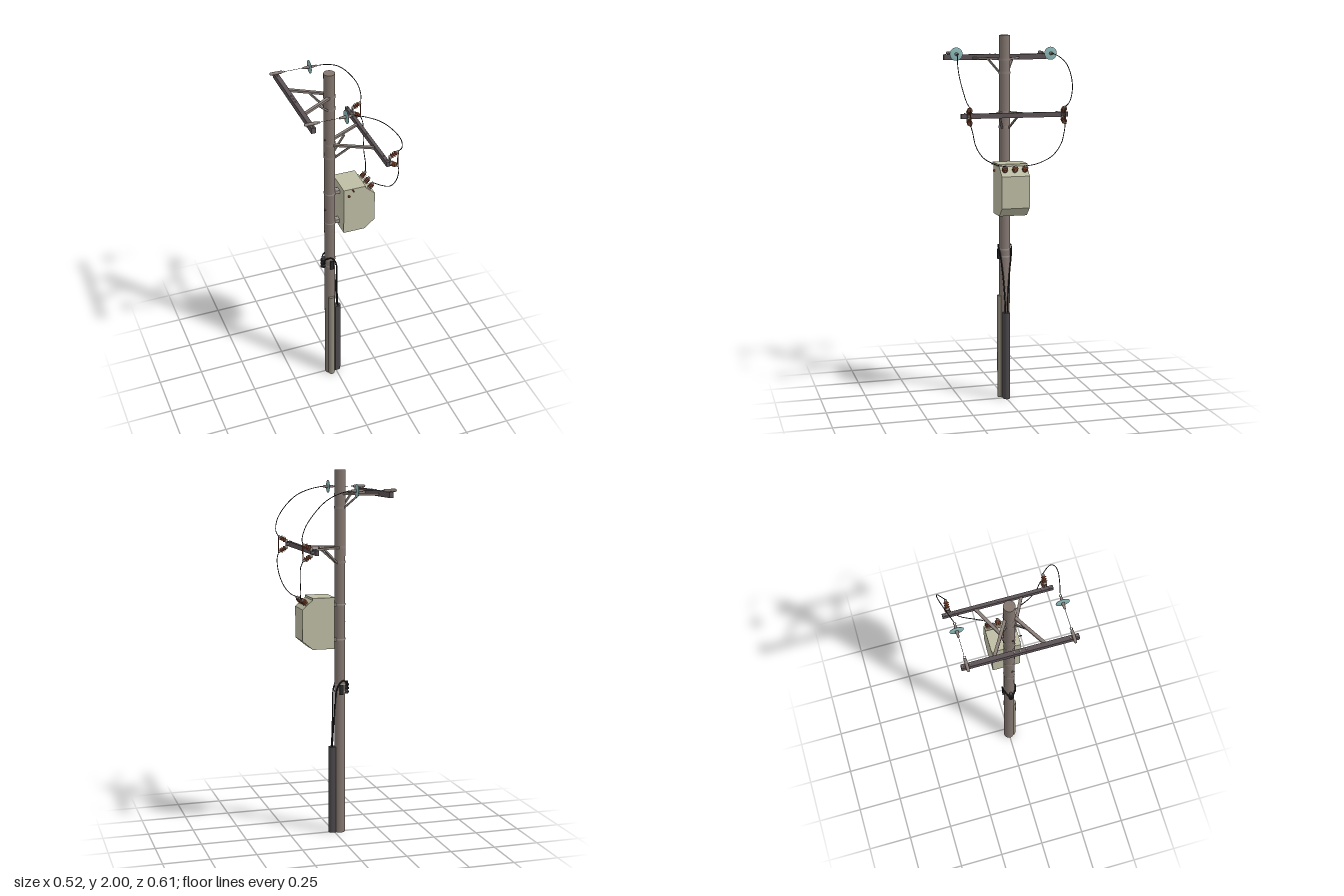
import * as THREE from 'three';

const mat = (name, color) => {
  const m = new THREE.MeshStandardMaterial({ color, side: THREE.DoubleSide });
  m.name = name;
  return m;
};
const V = (x, y, z) => new THREE.Vector3(x, y, z);
const UP = V(0, 1, 0);

export function createModel() {
  const M = {
    pole: mat('weathered pole', 0x83766f),
    arm: mat('dark steel', 0x5c5356),
    strut: mat('light steel', 0x8a7e78),
    cap: mat('grey fittings', 0x9a938c),
    tank: mat('tank paint', 0xbdbca3),
    brown: mat('brown porcelain', 0x84482f),
    glass: mat('teal glass', 0x8fbcbc),
    wire: mat('black cable', 0x2a2829),
    guard: mat('cable guard', 0x4b474a),
    pipe: mat('ground pipe', 0x8f897b),
  };
  const root = new THREE.Group();
  root.name = 'utilityPole';
  const PX = -0.032, PR = 0.0295;

  const add = (name, geo, material, pos = V(0, 0, 0), parent = root) => {
    const m = new THREE.Mesh(geo, material);
    m.name = name;
    m.position.copy(pos);
    parent.add(m);
    return m;
  };
  const box = (name, m, x0, x1, y0, y1, z0, z1) =>
    add(name, new THREE.BoxGeometry(x1 - x0, y1 - y0, z1 - z0), m, V((x0 + x1) / 2, (y0 + y1) / 2, (z0 + z1) / 2));
  // flat bar between two points
  const bar = (name, m, a, b, w, h) => {
    const o = add(name, new THREE.BoxGeometry(w, h, a.distanceTo(b)), m, a.clone().lerp(b, 0.5));
    o.lookAt(b);
    return o;
  };
  const rod = (name, m, a, b, r, seg = 10) => {
    const o = add(name, new THREE.CylinderGeometry(r, r, a.distanceTo(b), seg), m, a.clone().lerp(b, 0.5));
    o.quaternion.setFromUnitVectors(UP, b.clone().sub(a).normalize());
    return o;
  };
  const cable = (name, pts, r, n = 40) =>
    add(name, new THREE.TubeGeometry(new THREE.CatmullRomCurve3(pts.map(p => V(...p))), n, r, 6), M.wire);
  // turned part whose axis runs from base along dir
  const turned = (name, m, base, dir, profile) => {
    const o = add(name, new THREE.LatheGeometry(profile.map(p => new THREE.Vector2(...p)), 20), m, base);
    o.quaternion.setFromUnitVectors(UP, dir.clone().normalize());
    return o;
  };
  // ribbed porcelain with metal ends
  const insulator = (name, base, dir, len, r) => {
    const d = dir.clone().normalize(), profile = [[0, 0]];
    const sheds = 3;
    for (let i = 0; i < sheds; i++) {
      const t = len * (0.2 + 0.6 * i / sheds);
      profile.push([r * 0.5, t], [r, t + len * 0.07], [r * 0.9, t + len * 0.11], [r * 0.5, t + len * 0.19]);
    }
    profile.push([r * 0.4, len * 0.85], [0, len * 0.85]);
    turned(name + 'Porcelain', M.brown, base, d, profile);
    const end = base.clone().addScaledVector(d, len);
    rod(name + 'Base', M.cap, base, base.clone().addScaledVector(d, len * 0.2), r * 0.7);
    rod(name + 'Tip', M.cap, end.clone().addScaledVector(d, -len * 0.2), end, r * 0.5);
    return end;
  };
  const band = (y, h, m = M.strut) =>
    add('poleBand', new THREE.CylinderGeometry(PR + 0.002, PR + 0.002, h, 24, 1, true), m, V(PX, y, 0));

  // pole and its bands
  add('pole', new THREE.CylinderGeometry(PR, PR, 2, 32), M.pole, V(PX, 1, 0));
  for (const y of [1.87, 1.8, 1.59, 1.51]) band(y, 0.012);
  for (const y of [1.28, 1.09, 0.84, 0.8]) band(y, 0.008, M.cap);
  for (const y of [1.62, 1.18]) rod('poleBolt', M.arm, V(PX - 0.033, y, 0.01), V(PX, y, 0.01), 0.005);

  // crossarms
  box('upperCrossarm', M.arm, -0.233, -0.21, 1.862, 1.892, -0.29, 0.29);
  box('lowerCrossarm', M.arm, 0.166, 0.184, 1.575, 1.601, -0.29, 0.29);
  for (const z of [-0.28, -0.245, -0.03, 0, 0.03, 0.245, 0.28])
    rod('upperArmBolt', M.cap, V(-0.222, 1.89, z), V(-0.222, 1.896, z), 0.004, 6);
  for (const z of [-0.27, -0.23, 0, 0.23, 0.27])
    rod('lowerArmBolt', M.cap, V(0.175, 1.6, z), V(0.175, 1.606, z), 0.004, 6);

  for (const s of [1, -1]) {
    // struts and diagonal braces
    bar('upperStrut', M.strut, V(-0.21, 1.873, s * 0.125), V(-0.045, 1.873, s * 0.025), 0.016, 0.012);
    bar('upperBrace', M.strut, V(-0.115, 1.868, s * 0.067), V(-0.05, 1.8, s * 0.022), 0.009, 0.009);
    bar('lowerStrut', M.strut, V(0.168, 1.588, s * 0.12), V(-0.018, 1.588, s * 0.024), 0.016, 0.011);
    bar('lowerBrace', M.strut, V(0.072, 1.585, s * 0.056), V(-0.012, 1.505, s * 0.018), 0.009, 0.009);

    // line clamp on the upper arm
    const z = s * 0.262, y = 1.9;
    const clamp = add('lineClamp', new THREE.CapsuleGeometry(0.008, 0.055, 6, 14), M.strut, V(-0.224, y, z));
    clamp.rotation.z = Math.PI / 2;
    const ringGeo = new THREE.TorusGeometry(0.006, 0.002, 6, 14);
    ringGeo.rotateX(Math.PI / 2);
    add('clampRing', ringGeo, M.cap, V(-0.184, y, z));
    rod('lineWire', M.wire, V(-0.18, y, z), V(-0.075, y, z), 0.001, 6);

    // glass disc insulator
    const X = V(1, 0, 0);
    turned('glassDisc', M.glass, V(-0.046, y, z), X,
      [[0, 0], [0.012, 0], [0.035, 0.002], [0.035, 0.004], [0.012, 0.006], [0, 0.006]]);
    turned('discSpindle', M.strut, V(-0.08, y, z), X,
      [[0, 0], [0.005, 0.001], [0.0065, 0.015], [0.0085, 0.03], [0.0085, 0.044], [0.006, 0.065], [0, 0.068]]);
    add('discRing', ringGeo, M.cap, V(-0.007, y, z));

    // fuse holder: two angled insulators and a fuse tube
    const fz = s * 0.255;
    rod('fuseStem', M.cap, V(0.184, 1.588, fz), V(0.2, 1.588, fz), 0.006);
    box('fuseBracket', M.arm, 0.194, 0.201, 1.565, 1.612, fz - 0.006, fz + 0.006);
    const top = insulator('upperFuse', V(0.195, 1.604, fz), V(0.05, 0.03, 0), 0.055, 0.0145);
    const low = insulator('lowerFuse', V(0.195, 1.574, fz), V(0.05, -0.03, 0), 0.055, 0.0145);
    rod('fuseTube', M.brown, top, low, 0.0035);

    // jumper cables
    cable('upperJumper', [[-0.002, y, z], [0.06, 1.885, s * 0.279], [0.13, 1.852, s * 0.295],
      [0.195, 1.79, s * 0.301], [0.24, 1.72, s * 0.293], [0.252, 1.66, s * 0.275], [top.x, top.y, fz]], 0.0022);
    cable('lowerJumper', [[low.x, low.y, fz], [0.253, 1.51, s * 0.247], [0.25, 1.44, s * 0.23],
      [0.236, 1.375, s * 0.185], [0.217, 1.335, s * 0.11], [0.195, 1.322, s * 0.056]], 0.0022);

    // supply cable from the terminal into the guard
    cable('supplyCable', [[-0.07, 0.81, s * 0.012], [-0.066, 0.85, s * 0.022], [-0.035, 0.862, s * 0.036],
      [-0.008, 0.82, s * 0.032], [0.002, 0.72, s * 0.02], [0.007, 0.6, s * 0.01], [0.013, 0.48, s * 0.006]], 0.004);
    box('terminalClip', M.wire, -0.042, -0.022, 0.785, 0.84, s * 0.034 - 0.005, s * 0.034 + 0.005);
  }

  // transformer tank
  const shape = new THREE.Shape([[0.02, 1.05], [0.14, 1.05], [0.197, 1.098], [0.197, 1.268], [0.14, 1.318], [0.02, 1.318]]
    .map(p => new THREE.Vector2(...p)));
  const tank = new THREE.ExtrudeGeometry(shape, { depth: 0.152, bevelEnabled: false });
  add('transformerTank', tank, M.tank, V(0, 0, -0.076));
  box('tankLid', M.tank, 0.018, 0.142, 1.314, 1.328, -0.08, 0.08);
  for (const y of [1.28, 1.09]) box('tankBracket', M.cap, -0.008, 0.021, y - 0.01, y + 0.01, -0.016, 0.016);
  const out = V(0.65, 0.75, 0);
  for (const z of [-0.055, 0, 0.055]) insulator('bushing', V(0.168, 1.291, z), out, 0.042, 0.0155);
  rod('tankLever', M.brown, V(0.068, 1.322, 0.076), V(0.068, 1.322, 0.098), 0.0035);
  rod('tankGauge', M.brown, V(0.048, 1.285, 0.074), V(0.048, 1.285, 0.085), 0.006);

  // cable terminal on the back of the pole
  rod('terminalBody', M.guard, V(-0.07, 0.785, 0), V(-0.07, 0.855, 0), 0.009, 14);
  for (const y of [0.795, 0.815, 0.835])
    rod('terminalRib', M.wire, V(-0.072, y - 0.004, 0), V(-0.072, y + 0.004, 0), 0.014, 14);

  // cable guard and ground pipe along the pole foot
  const guard = new THREE.Shape();
  guard.moveTo(-0.006, -0.018);
  guard.lineTo(0.013, -0.018);
  guard.absarc(0.013, 0, 0.018, -Math.PI / 2, Math.PI / 2, false);
  guard.lineTo(-0.006, 0.018);
  const guardGeo = new THREE.ExtrudeGeometry(guard, { depth: 0.49, bevelEnabled: false, curveSegments: 12 });
  guardGeo.rotateX(-Math.PI / 2);
  add('cableGuard', guardGeo, M.guard);
  add('groundPipe', new THREE.CylinderGeometry(0.018, 0.018, 0.58, 18), M.pipe, V(PX, 0.29, 0.023));
  return root;
}
